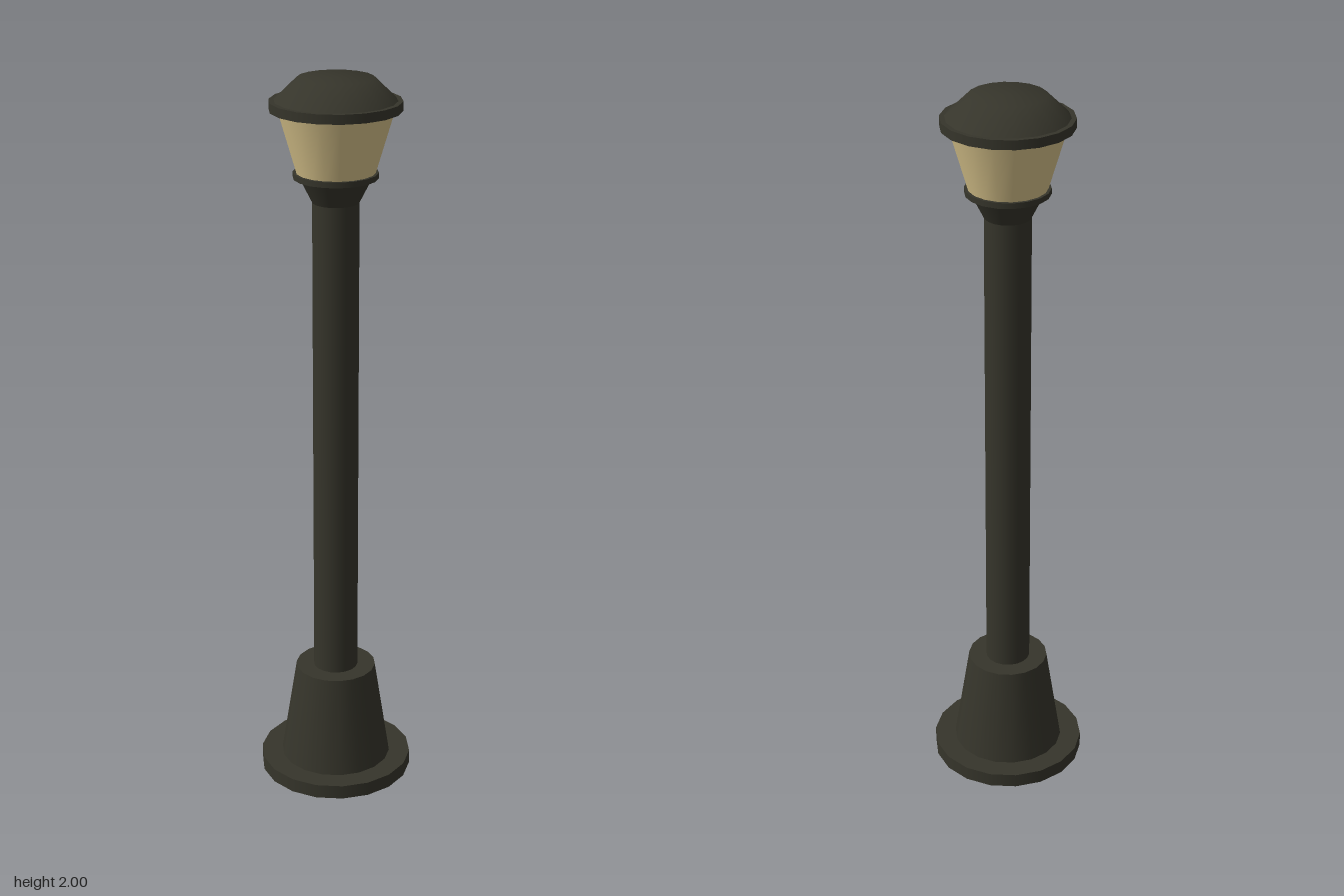
import * as THREE from 'three';

const SIDES = 18;

export function createModel() {
  const group = new THREE.Group();
  group.name = 'bollardLamp';
  const metal = new THREE.MeshStandardMaterial({ color: 0x36352b });
  const glass = new THREE.MeshStandardMaterial({ color: 0xdcc78e });

  // Round section between two heights, with its own bottom and top radius
  function section(name, y0, y1, r0, r1, material = metal) {
    const mesh = new THREE.Mesh(new THREE.CylinderGeometry(r1, r0, y1 - y0, SIDES), material);
    mesh.position.y = (y0 + y1) / 2;
    mesh.name = name;
    group.add(mesh);
  }

  // Foot and post
  section('basePlate', 0, 0.04, 0.214, 0.214);
  section('plinth', 0.04, 0.32, 0.155, 0.112);
  section('post', 0.32, 1.68, 0.062, 0.062);

  // Lamp head
  section('neck', 1.675, 1.742, 0.062, 0.096);
  section('collar', 1.74, 1.755, 0.112, 0.112);
  section('lampGlass', 1.755, 1.918, 0.104, 0.152, glass);
  section('capRim', 1.917, 1.942, 0.173, 0.173);

  // Softly shaded roof with a flat top
  const profile = [[0.16, 1.942], [0.1, 2], [0, 2]].map(([r, y]) => new THREE.Vector2(r, y));
  const roof = new THREE.Mesh(new THREE.LatheGeometry(profile, SIDES), metal);
  roof.name = 'capRoof';
  group.add(roof);

  return group;
}
